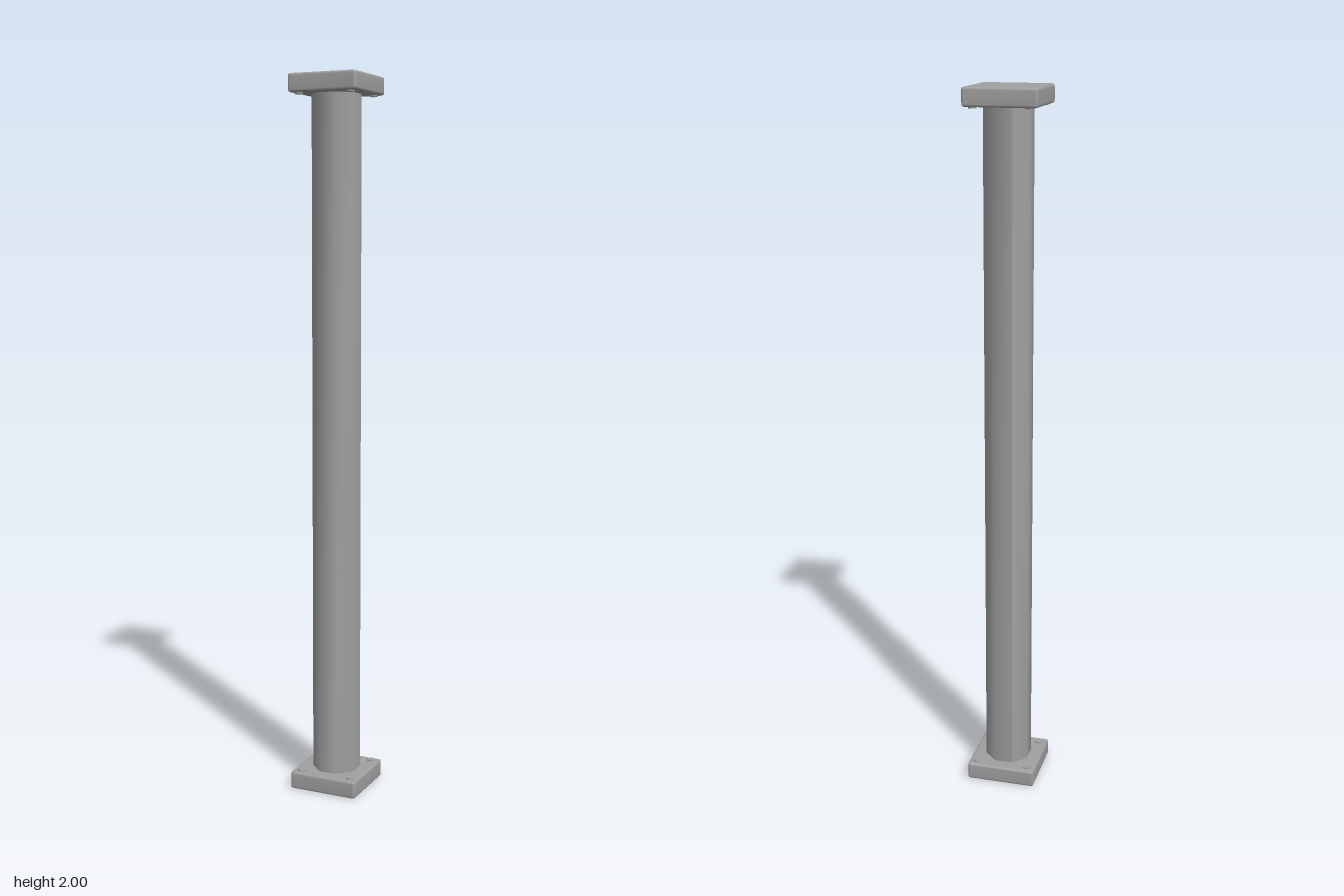
import * as THREE from 'three';
import { mergeVertices } from 'three/addons/utils/BufferGeometryUtils.js';
import { RoundedBoxGeometry } from 'three/addons/geometries/RoundedBoxGeometry.js';

const steel = new THREE.MeshStandardMaterial({ color: 0xa0a0a0 });
steel.name = 'grey steel';

function addMesh(parent, geometry, name, x = 0, y = 0, z = 0) {
  const mesh = new THREE.Mesh(geometry, steel);
  mesh.name = name;
  mesh.position.set(x, y, z);
  parent.add(mesh);
  return mesh;
}

// Softly shaded plate with a narrow bevel
function plateGeometry(width, height, bevel) {
  const box = new RoundedBoxGeometry(width, height, width, 1, bevel);
  box.deleteAttribute('normal');
  box.deleteAttribute('uv');
  const plate = mergeVertices(box, 1e-4);
  plate.computeVertexNormals();
  return plate;
}

// Run of octagon sides, smooth inside and sharp where it meets the next run
function shaftSides(startDegrees, sides, radius, height) {
  const geometry = new THREE.CylinderGeometry(
    radius, radius, height, sides, 1, true,
    THREE.MathUtils.degToRad(startDegrees), sides * Math.PI / 4);
  geometry.computeVertexNormals();
  return geometry;
}

export function createModel() {
  const model = new THREE.Group();
  model.name = 'column';
  const plateHeight = 0.05;

  // Octagonal shaft with two sharp edges at the back
  const shaft = new THREE.Group();
  shaft.name = 'shaft';
  model.add(shaft);
  const radius = 0.0625 / Math.cos(Math.PI / 8);
  addMesh(shaft, shaftSides(112.5, 2, radius, 1.92), 'shaftBack', 0, 1, 0);
  addMesh(shaft, shaftSides(202.5, 6, radius, 1.92), 'shaftFront', 0, 1, 0);

  // Matching end plates with four bolts on the inner faces
  const plate = plateGeometry(0.2, plateHeight, 0.007);
  const bolt = new THREE.CylinderGeometry(0.011, 0.012, 0.008, 12);
  for (const [name, y, side] of [['base', plateHeight / 2, 1], ['cap', 2 - plateHeight / 2, -1]]) {
    const end = new THREE.Group();
    end.name = name;
    end.position.y = y;
    end.scale.set(1, 1, 1);
    if (side < 0) end.rotation.x = Math.PI;
    model.add(end);
    addMesh(end, plate, name + 'Plate');
    for (const x of [-0.076, 0.076]) {
      for (const z of [-0.076, 0.076]) addMesh(end, bolt, name + 'Bolt', x, plateHeight / 2, z);
    }
  }
  return model;
}
